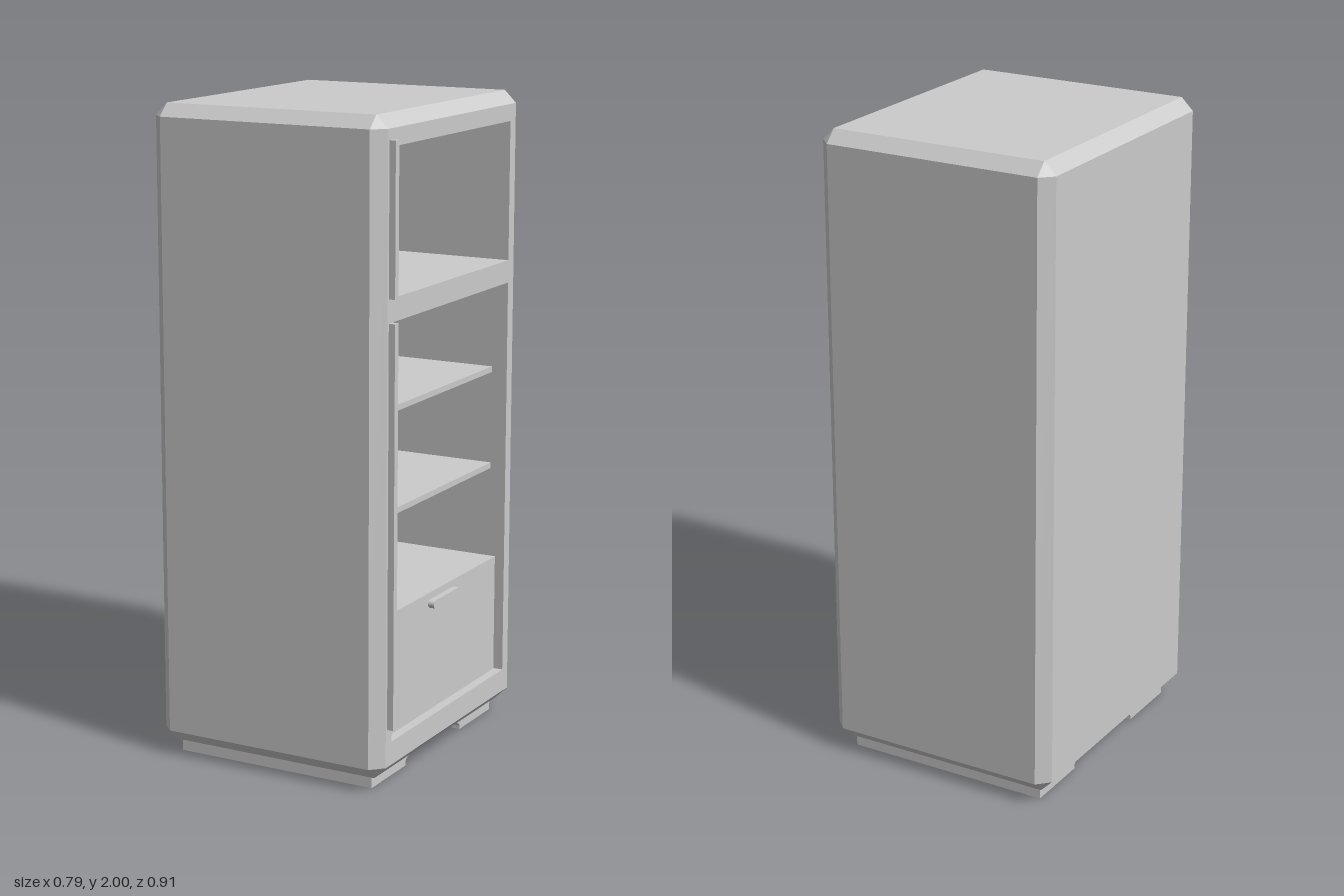
import * as THREE from 'three';

const grey = new THREE.MeshStandardMaterial({ color: 0xcccccc, flatShading: true });

// Cabinet limits and chamfer width
const LO = [-0.395, 0.04, -0.453], HI = [0.375, 2, 0.453], C = 0.038;

function add(parent, name, geometry, x = 0, y = 0, z = 0) {
  const mesh = new THREE.Mesh(geometry, grey);
  mesh.name = name;
  mesh.position.set(x, y, z);
  parent.add(mesh);
  return mesh;
}

// Box given by its limits
function block(parent, name, x0, x1, y0, y1, z0, z1) {
  return add(parent, name, new THREE.BoxGeometry(x1 - x0, y1 - y0, z1 - z0),
    (x0 + x1) / 2, (y0 + y1) / 2, (z0 + z1) / 2);
}

// Inward-facing box with one side left open (0 = +x, 3 = -y)
function liner(parent, name, open, x0, x1, y0, y1, z0, z1) {
  const mesh = block(parent, name, x0, x1, y0, y1, z0, z1);
  const index = Array.from(mesh.geometry.index.array);
  index.splice(open * 6, 6);
  mesh.geometry.setIndex(index.reverse());
  mesh.geometry = mesh.geometry.toNonIndexed();
  mesh.geometry.computeVertexNormals();
}

function rect(Type, x0, x1, y0, y1) {
  return new Type([[x0, y0], [x1, y0], [x1, y1], [x0, y1]].map(p => new THREE.Vector2(...p)));
}

// Chamfered shell without its +x and -y panels
function chamferedShell() {
  const pos = [];
  // Point on the face of the given axis, at the corner with signs s
  const point = (s, axis) => new THREE.Vector3(...s.map((v, i) =>
    (v > 0 ? HI[i] : LO[i]) - (i === axis ? 0 : v * C)));
  const tri = (a, b, c, out) => {
    const n = b.clone().sub(a).cross(c.clone().sub(a));
    (n.dot(out) > 0 ? [a, b, c] : [a, c, b]).forEach(p => pos.push(p.x, p.y, p.z));
  };
  const quad = (a, b, c, d, out) => { tri(a, b, c, out); tri(a, c, d, out); };
  const signs = (i, a, j, b, k, c) => {
    const s = [0, 0, 0];
    s[i] = a; s[j] = b; s[k] = c;
    return s;
  };
  for (let i = 0; i < 3; i++) {
    const j = (i + 1) % 3, k = (i + 2) % 3;
    for (const a of [-1, 1]) {
      // flat faces
      if (!(i === 0 && a > 0) && !(i === 1 && a < 0)) {
        const p = [[-1, -1], [1, -1], [1, 1], [-1, 1]].map(([b, c]) => point(signs(i, a, j, b, k, c), i));
        quad(...p, new THREE.Vector3(...signs(i, a, j, 0, k, 0)));
      }
      // edge chamfers
      for (const b of [-1, 1]) {
        const s = signs(i, a, j, b, k, -1), t = signs(i, a, j, b, k, 1);
        quad(point(s, i), point(s, j), point(t, j), point(t, i),
          new THREE.Vector3(...signs(i, a, j, b, k, 0)));
      }
    }
  }
  // corner triangles
  for (const x of [-1, 1]) for (const y of [-1, 1]) for (const z of [-1, 1]) {
    const s = [x, y, z];
    tri(point(s, 0), point(s, 1), point(s, 2), new THREE.Vector3(...s));
  }
  const g = new THREE.BufferGeometry();
  g.setAttribute('position', new THREE.Float32BufferAttribute(pos, 3));
  g.computeVertexNormals();
  return g;
}

// Plinth side with a low arched cut-out
function archedSide(depth) {
  const s = new THREE.Shape();
  s.moveTo(-0.4, 0);
  s.lineTo(-0.185, 0);
  s.lineTo(-0.185, 0.01);
  s.quadraticCurveTo(-0.18, 0.027, -0.145, 0.028);
  s.lineTo(0.145, 0.028);
  s.quadraticCurveTo(0.18, 0.027, 0.185, 0.01);
  s.lineTo(0.185, 0);
  s.lineTo(0.4, 0);
  s.lineTo(0.4, 0.04);
  s.lineTo(-0.4, 0.04);
  return new THREE.ExtrudeGeometry(s, { depth, bevelEnabled: false, curveSegments: 5 }).rotateY(-Math.PI / 2);
}

export function createModel() {
  const model = new THREE.Group();
  model.name = 'refrigerator';
  const W = 0.378, BACK = -0.33, FACE = HI[0];
  const openings = [['freezerLiner', 1.48, 1.91], ['fridgeLiner', 0.15, 1.41]];

  // Cabinet
  const cabinet = new THREE.Group();
  cabinet.name = 'cabinet';
  model.add(cabinet);
  add(cabinet, 'shell', chamferedShell());

  const front = rect(THREE.Shape, LO[2] + C, HI[2] - C, LO[1] + C, HI[1] - C);
  for (const [name, y0, y1] of openings) {
    front.holes.push(rect(THREE.Path, -W, W, y0, y1));
    liner(cabinet, name, 0, BACK, FACE, y0, y1, -W, W);
  }
  add(cabinet, 'doorFrame', new THREE.ShapeGeometry(front).rotateY(Math.PI / 2), FACE);

  // Underside with its recess
  const under = rect(THREE.Shape, LO[0] + C, HI[0] - C, LO[2] + C, HI[2] - C);
  under.holes.push(rect(THREE.Path, -0.31, 0.285, -0.365, 0.365));
  add(cabinet, 'underside', new THREE.ShapeGeometry(under).rotateX(Math.PI / 2), 0, LO[1]);
  liner(cabinet, 'undersideRecess', 3, -0.31, 0.285, LO[1], 0.135, -0.365, 0.365);

  // Plinth ring
  const plinth = new THREE.Group();
  plinth.name = 'plinth';
  model.add(plinth);
  for (const x of [0.32, -0.31]) add(plinth, 'archedPlinthSide', archedSide(0.035), x);
  for (const z of [-0.4, 0.365]) block(plinth, 'plinthSide', -0.31, 0.285, 0, 0.04, z, z + 0.035);

  // Shelves
  for (const y of [0.812, 1.122]) block(model, 'shelf', BACK, 0.325, y, y + 0.018, -W + 0.002, W - 0.002);

  // Drawer and its rounded pull
  block(model, 'drawer', BACK, 0.345, 0.15, 0.525, -W + 0.004, W - 0.004);
  const pull = new THREE.Shape();
  pull.absarc(0.077, 0, 0.013, -Math.PI / 2, Math.PI / 2);
  pull.absarc(-0.077, 0, 0.013, Math.PI / 2, Math.PI * 1.5);
  add(model, 'drawerPull', new THREE.ExtrudeGeometry(pull,
    { depth: 0.02, bevelEnabled: false, curveSegments: 6 }).rotateY(Math.PI / 2), 0.345, 0.49);

  // Hinge strips beside the openings
  block(model, 'upperHingeStrip', FACE, 0.395, 1.48, 1.93, 0.386, 0.407);
  block(model, 'lowerHingeStrip', FACE, 0.395, 0.195, 1.41, 0.386, 0.407);

  return model;
}
